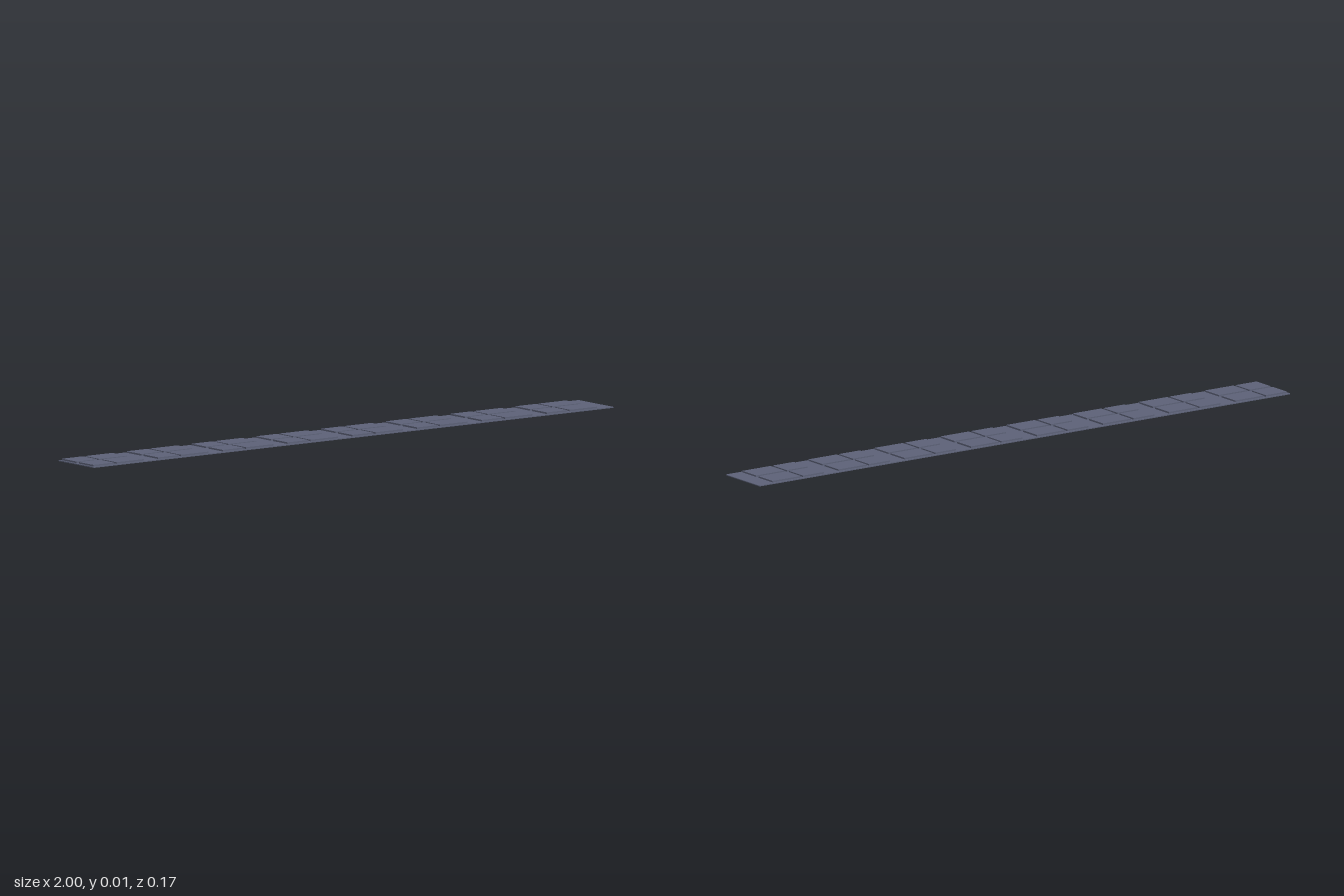
import * as THREE from 'three';

export function createModel() {
  const group = new THREE.Group();
  group.name = 'treadStrip';
  const slate = new THREE.MeshStandardMaterial({ color: 0x5c6177 });
  slate.name = 'slate';

  const addBox = (name, x0, x1, y0, y1, z0, z1) => {
    const mesh = new THREE.Mesh(new THREE.BoxGeometry(x1 - x0, y1 - y0, z1 - z0), slate);
    mesh.position.set((x0 + x1) / 2, (y0 + y1) / 2, (z0 + z1) / 2);
    mesh.name = name;
    group.add(mesh);
  };

  // Thin backing belt
  addBox('belt', -1, 1, 0, 0.003, -0.0875, 0.0875);

  // Eight repeats of a short and a long pad, in two rows either side of the centre groove
  const pitch = 0.249;
  for (let i = 0; i < 8; i++) {
    const x = -0.993 + i * pitch;
    for (const [z0, z1] of [[0.006, 0.079], [-0.079, -0.006]]) {
      addBox('shortPad', x, x + 0.079, 0.003, 0.008, z0, z1);
      addBox('longPad', x + 0.088, x + 0.194, 0.003, 0.008, z0, z1);
    }
  }
  return group;
}
